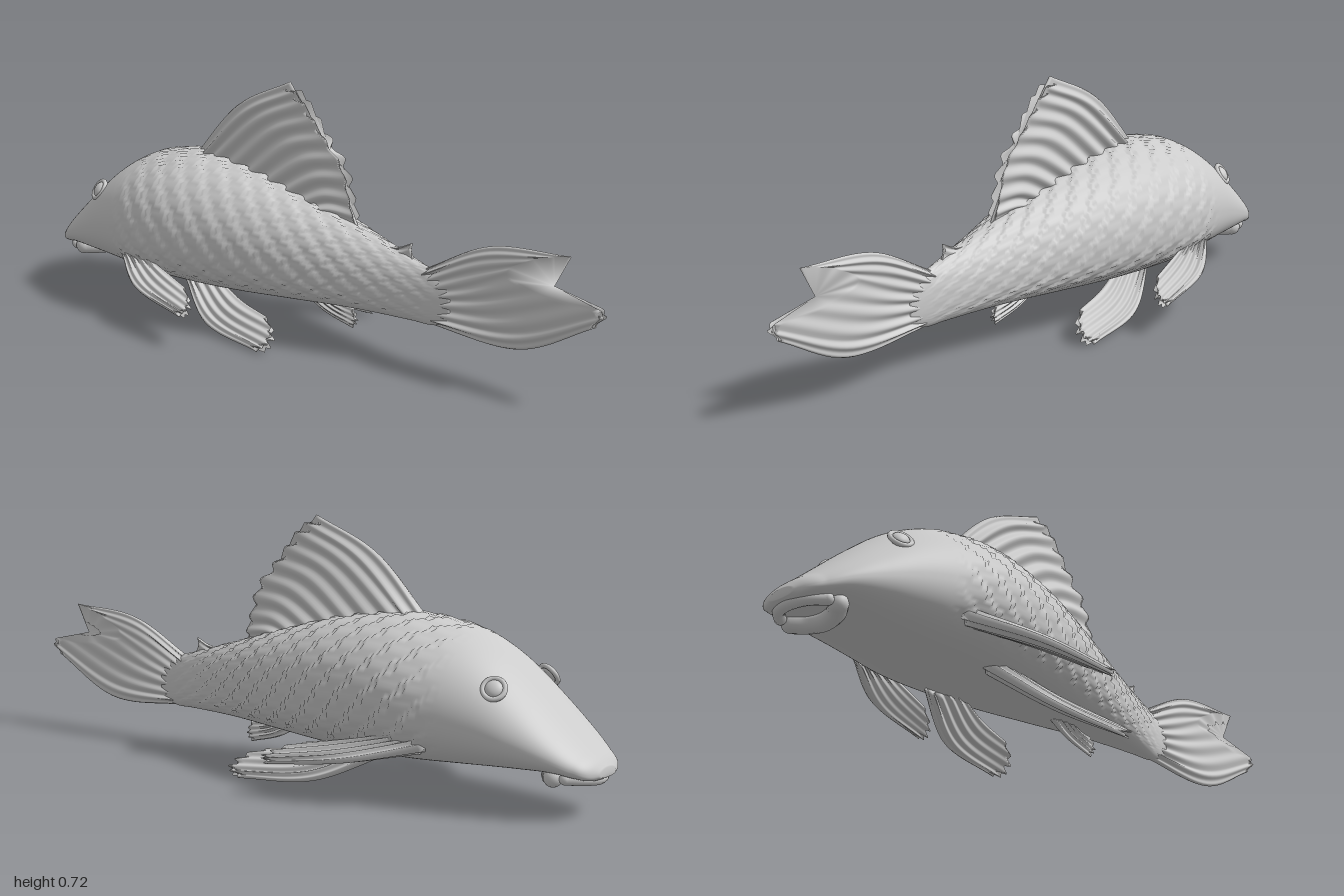
import * as THREE from 'three';

const V = (x, y, z = 0) => new THREE.Vector3(x, y, z);
const skin = new THREE.MeshStandardMaterial({ color: 0xcccccc });

// Closed skin over a list of equal-length loops, fanned shut at both ends
function loft(rings) {
  const n = rings[0].length, pos = [], idx = [];
  rings.forEach(r => r.forEach(p => pos.push(p.x, p.y, p.z)));
  for (let i = 0; i < rings.length - 1; i++) {
    for (let j = 0; j < n; j++) {
      const a = i * n + j, b = i * n + (j + 1) % n;
      idx.push(a, b, a + n, b, b + n, a + n);
    }
  }
  [0, rings.length - 1].forEach(e => {
    const c = V(0, 0);
    rings[e].forEach(p => c.addScaledVector(p, 1 / n));
    const k = pos.push(c.x, c.y, c.z) / 3 - 1;
    for (let j = 0; j < n; j++) {
      const a = e * n + j, b = e * n + (j + 1) % n;
      if (e === 0) idx.push(k, b, a); else idx.push(k, a, b);
    }
  });
  // Turn the faces outward if the enclosed volume comes out negative
  const at = i => V(pos[3 * i], pos[3 * i + 1], pos[3 * i + 2]);
  let volume = 0;
  for (let i = 0; i < idx.length; i += 3) {
    volume += at(idx[i]).dot(at(idx[i + 1]).cross(at(idx[i + 2])));
  }
  if (volume < 0) idx.reverse();
  const g = new THREE.BufferGeometry();
  g.setAttribute('position', new THREE.Float32BufferAttribute(pos, 3));
  g.setIndex(idx);
  g.computeVertexNormals();
  return g;
}

function add(group, name, geometry) {
  const mesh = new THREE.Mesh(geometry, skin);
  mesh.name = name;
  group.add(mesh);
  return mesh;
}

// Body stations: x, top, bottom, half width
const stations = [
  [-1, 0.145, 0.12, 0.04], [-0.985, 0.165, 0.113, 0.08], [-0.95, 0.195, 0.115, 0.112],
  [-0.9, 0.24, 0.122, 0.14], [-0.8, 0.33, 0.12, 0.175], [-0.7, 0.41, 0.115, 0.2],
  [-0.6, 0.46, 0.11, 0.222], [-0.5, 0.48, 0.106, 0.24], [-0.4, 0.488, 0.105, 0.24],
  [-0.2, 0.465, 0.108, 0.21], [0, 0.415, 0.118, 0.158], [0.2, 0.355, 0.128, 0.098],
  [0.4, 0.298, 0.13, 0.042], [0.46, 0.28, 0.13, 0.027], [0.52, 0.25, 0.15, 0.012]
];

function bodyGeometry() {
  const along = new THREE.CubicInterpolant(stations.map(s => s[0]), stations.flatMap(s => s.slice(1)), 3);
  const power = (c, e) => Math.sign(c) * Math.pow(Math.abs(c), e);
  const rings = [], steps = 270, around = 112;
  for (let i = 0; i <= steps; i++) {
    const x = -1 + 1.52 * Math.pow(i / steps, 1.15);
    const [top, bottom, half] = along.evaluate(x);
    const mid = bottom + (top - bottom) * 0.42, ring = [];
    for (let j = 0; j < around; j++) {
      const a = (j / around) * Math.PI * 2, c = Math.cos(a), s = Math.sin(a);
      const e = c > 0 ? 2 / 1.95 : 2 / 2.6;
      // Overlapping scales in staggered rows, fading into the smooth head and belly
      const fromTop = Math.min(a, Math.PI * 2 - a), row = fromTop / Math.PI * 14;
      const tip = Math.abs(row - Math.floor(row) - 0.5);
      const t = (x + 2) / 0.085 + (Math.floor(row) % 2) * 0.5 + tip * 0.8;
      const mask = THREE.MathUtils.smoothstep(x, -0.64, -0.52)
        * (1 - THREE.MathUtils.smoothstep(x, 0.42, 0.5))
        * (1 - THREE.MathUtils.smoothstep(fromTop, 2.1, 2.4));
      const lift = 0.008 * mask * (t - Math.floor(t) - 0.5) * Math.min(1, half / 0.12);
      ring.push(V(x, mid + power(c, e) * (c > 0 ? top - mid : mid - bottom) + lift * c,
        power(s, e) * half + lift * s));
    }
    rings.push(ring);
  }
  return loft(rings);
}

// Fin from a few guide rays (root, middle, tip), ribbed and scalloped along the edge
function finGeometry(rays, normal, thick, ribs, scallop = 0.07, side = 1) {
  const points = rays.map(r => r.map(p => V(p[0], p[1], (p[2] || 0) * side)));
  const across = [0, 1, 2].map(k => new THREE.CatmullRomCurve3(points.map(r => r[k])));
  const nrm = V(normal[0], normal[1], normal[2] * side).normalize();
  const cols = ribs * 10, rows = 24, curves = [];
  for (let k = 0; k <= cols; k++) {
    curves.push(new THREE.CatmullRomCurve3(across.map(c => c.getPoint(k / cols))));
  }
  const rings = [];
  for (let i = 0; i <= rows; i++) {
    const v = i / rows, ring = [];
    for (let k = 0; k < cols * 2; k++) {
      const front = k <= cols, q = front ? k : cols * 2 - k, u = q / cols;
      const wave = 0.5 + 0.5 * Math.cos(Math.PI * 2 * ribs * u);
      const edge = Math.min(1, Math.sqrt(Math.min(u, 1 - u) * 10));
      const t = thick * (1 - 0.62 * v) * edge * (0.5 + 0.5 * wave);
      const p = curves[q].getPoint(v * (1 - scallop * (1 - wave)));
      ring.push(p.addScaledVector(nrm, front ? t : -t));
    }
    rings.push(ring);
  }
  return loft(rings);
}

export function createModel() {
  const fish = new THREE.Group();
  fish.name = 'armouredCatfish';
  add(fish, 'body', bodyGeometry());

  // Fins on the centre line
  add(fish, 'dorsalFin', finGeometry([
    [[-0.46, 0.46], [-0.28, 0.64], [-0.07, 0.735]],
    [[-0.38, 0.46], [-0.18, 0.62], [-0.01, 0.69]],
    [[-0.24, 0.45], [-0.08, 0.57], [0.06, 0.61]],
    [[-0.12, 0.42], [0.02, 0.5], [0.14, 0.52]],
    [[0, 0.39], [0.08, 0.42], [0.17, 0.42]],
    [[0.06, 0.37], [0.12, 0.36], [0.19, 0.345]]
  ], [0, 0, 1], 0.036, 9));
  add(fish, 'tailFin', finGeometry([
    [[0.43, 0.285], [0.64, 0.385], [0.89, 0.405]],
    [[0.43, 0.26], [0.61, 0.34], [0.79, 0.38]],
    [[0.43, 0.22], [0.57, 0.27], [0.7, 0.325]],
    [[0.43, 0.19], [0.62, 0.225], [0.82, 0.29]],
    [[0.43, 0.155], [0.72, 0.17], [1, 0.28]],
    [[0.43, 0.132], [0.74, 0.124], [0.97, 0.235]]
  ], [0, 0, 1], 0.022, 8, 0.02));
  add(fish, 'adiposeFin', finGeometry([
    [[0.27, 0.325], [0.33, 0.325], [0.38, 0.345]],
    [[0.32, 0.31], [0.35, 0.315], [0.375, 0.325]],
    [[0.38, 0.29], [0.38, 0.295], [0.385, 0.3]]
  ], [0, 0, 1], 0.014, 2));
  add(fish, 'analFin', finGeometry([
    [[-0.02, 0.13], [0.06, 0.085], [0.17, 0.055]],
    [[0.03, 0.13], [0.1, 0.1], [0.185, 0.08]],
    [[0.08, 0.135], [0.12, 0.12], [0.17, 0.115]]
  ], [0, 0, 1], 0.016, 4));

  // Paired fins and eyes
  [1, -1].forEach(side => {
    const label = side > 0 ? 'left' : 'right';
    add(fish, label + 'PectoralFin', finGeometry([
      [[-0.58, 0.17, 0.2], [-0.4, 0.13, 0.312], [-0.17, 0.1, 0.355]],
      [[-0.54, 0.17, 0.2], [-0.36, 0.135, 0.295], [-0.15, 0.108, 0.345]],
      [[-0.5, 0.175, 0.2], [-0.34, 0.15, 0.265], [-0.17, 0.125, 0.31]],
      [[-0.46, 0.18, 0.2], [-0.35, 0.165, 0.23], [-0.24, 0.15, 0.262]]
    ], [0, 0.87, 0.5], 0.024, 5, 0.05, side));
    add(fish, label + 'PelvicFin', finGeometry([
      [[-0.4, 0.12, 0.11], [-0.22, 0.035, 0.205], [0.02, 0.012, 0.242]],
      [[-0.36, 0.12, 0.11], [-0.19, 0.05, 0.185], [0.06, 0.028, 0.235]],
      [[-0.31, 0.125, 0.1], [-0.16, 0.075, 0.16], [0.05, 0.055, 0.2]],
      [[-0.27, 0.13, 0.09], [-0.15, 0.1, 0.125], [-0.02, 0.085, 0.155]]
    ], [0, 0.75, 0.66], 0.024, 5, 0.05, side));

    const eye = new THREE.Group();
    eye.name = label + 'Eye';
    add(eye, 'eyeRim', new THREE.TorusGeometry(0.029, 0.007, 10, 32));
    add(eye, 'eyeball', new THREE.SphereGeometry(0.024, 24, 16)).scale.z = 0.55;
    eye.position.set(-0.745, 0.335, 0.139 * side);
    eye.lookAt(-0.745 - 0.3, 0.335 + 0.55, (0.139 + 0.78) * side);
    fish.add(eye);
  });

  // Sucker mouth under the snout: a thin upper lip and a fuller lower lip
  const mouth = new THREE.Group();
  mouth.name = 'mouth';
  [['upperLip', -0.975, 0.016, 0.05, 1], ['lowerLip', -0.855, 0.026, 0.035, -1]].forEach(([name, x, r, bow, dir]) => {
    const curve = new THREE.CatmullRomCurve3([
      V(x + bow * dir, 0.118, -0.085), V(x + bow * 0.3 * dir, 0.115, -0.05), V(x, 0.112, 0),
      V(x + bow * 0.3 * dir, 0.115, 0.05), V(x + bow * dir, 0.118, 0.085)
    ]);
    add(mouth, name, new THREE.TubeGeometry(curve, 32, r, 12));
    [0, 1].forEach(t => add(mouth, name + 'Corner', new THREE.SphereGeometry(r, 16, 12)).position.copy(curve.getPoint(t)));
  });
  fish.add(mouth);
  return fish;
}
